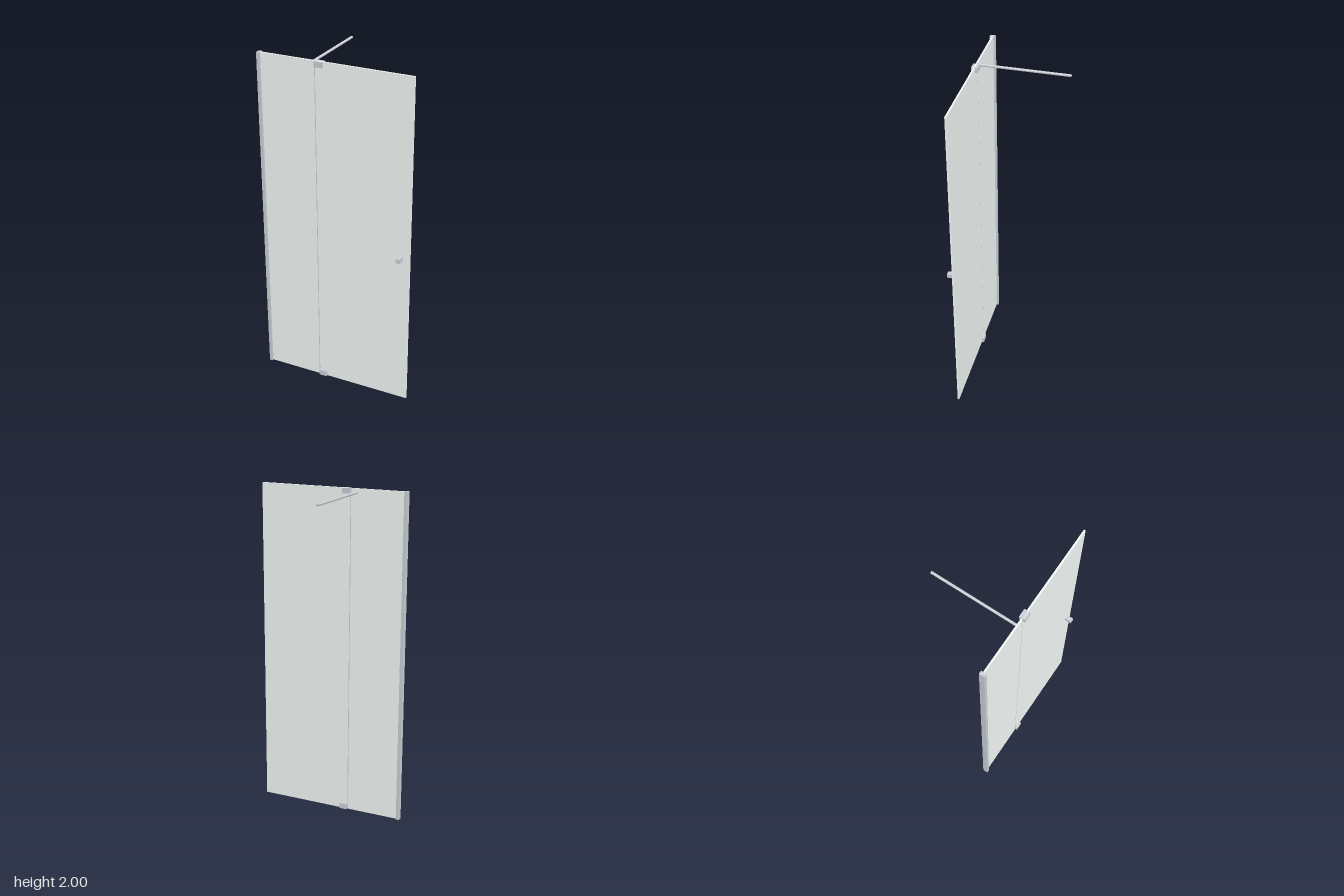
import * as THREE from 'three';

const metal = new THREE.MeshStandardMaterial({ color: 0xcad0d5 });
const glass = new THREE.MeshStandardMaterial({ color: 0xf3f9f7 });

// Box given by its [min, max] range along each axis
function box(name, material, [x0, x1], [y0, y1], [z0, z1]) {
  const mesh = new THREE.Mesh(new THREE.BoxGeometry(x1 - x0, y1 - y0, z1 - z0), material);
  mesh.position.set((x0 + x1) / 2, (y0 + y1) / 2, (z0 + z1) / 2);
  mesh.name = name;
  return mesh;
}

export function createModel() {
  const group = new THREE.Group();
  group.name = 'showerScreen';

  const glassZ = [0.228, 0.238];
  const hingeX = [-0.11, -0.062];
  const hingeZ = [0.2145, 0.2505];

  // Upright channel against the wall
  group.add(box('wallProfile', metal, [-0.46, -0.441], [0, 2], [0.217, 0.249]));

  // Glass panes, each on a thin bottom seal
  for (const [name, x] of [['fixed', [-0.443, -0.115]], ['door', [-0.11, 0.46]]]) {
    group.add(box(name + 'Glass', glass, x, [0.005, 2], glassZ));
    group.add(box(name + 'BottomSeal', glass, x, [0, 0.005], glassZ));
  }

  // Slim recessed seal in the joint between the panes
  group.add(box('jointSeal', metal, [-0.115, -0.11], [0.005, 1.999], [0.229, 0.237]));

  // Pivot hinges clamped on the door's top and bottom corners
  group.add(box('topHinge', metal, hingeX, [1.968, 2], hingeZ));
  group.add(box('bottomHinge', metal, hingeX, [0, 0.034], hingeZ));

  // Square door knob on the front
  group.add(box('doorKnob', metal, [0.392, 0.418], [0.927, 0.952], [0.238, 0.28]));

  // Round stabilising bar running back to the wall
  const bar = new THREE.Mesh(new THREE.CylinderGeometry(0.0075, 0.0075, 0.511, 24), metal);
  bar.name = 'supportBar';
  bar.rotation.x = Math.PI / 2;
  bar.position.set(-0.147, 1.976, -0.0245);
  group.add(bar);

  return group;
}
